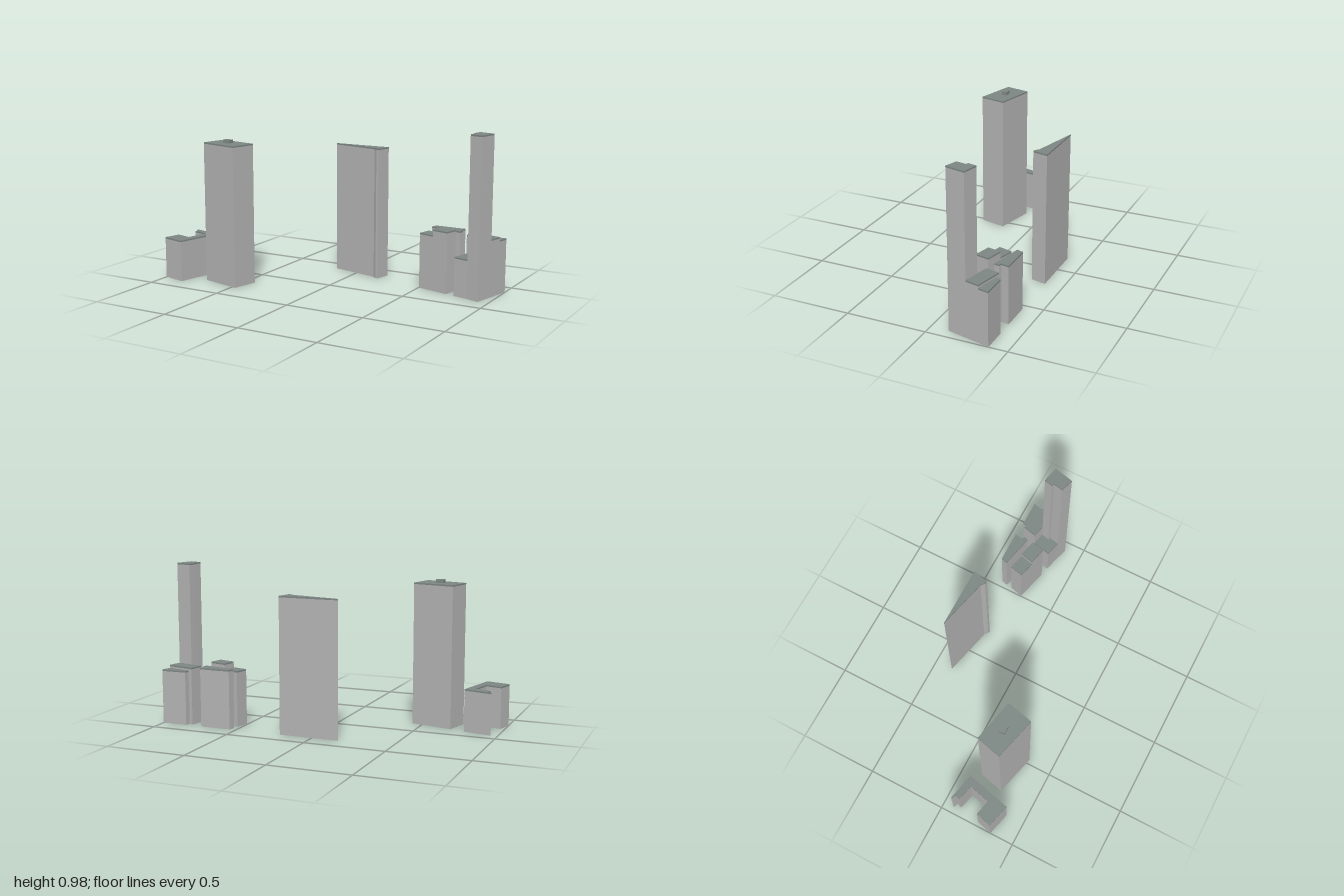
import * as THREE from 'three';

const SKIRT = 0.055; // open ground storey
const BAND = 0.009;  // roof edge

export function createModel() {
  const model = new THREE.Group();
  model.name = 'cityBlock';
  const wall = new THREE.MeshStandardMaterial({ color: 0xb2b2b2, side: THREE.DoubleSide });
  wall.name = 'wallGrey';
  const roof = new THREE.MeshStandardMaterial({ color: 0x7c8682 });
  roof.name = 'roofGrey';

  // upright prism over an [x, z] footprint
  function prism(points, bottom, top) {
    const shape = new THREE.Shape(points.map(([x, z]) => new THREE.Vector2(x, -z)));
    const geo = new THREE.ExtrudeGeometry(shape, { depth: top - bottom, bevelEnabled: false });
    return geo.rotateX(-Math.PI / 2).translate(0, bottom, 0);
  }

  // open ring of walls standing on the ground
  function skirt(points, height) {
    const pos = [];
    points.forEach(([ax, az], i) => {
      const [bx, bz] = points[(i + 1) % points.length];
      pos.push(ax, 0, az, ax, height, az, bx, height, bz);
      pos.push(ax, 0, az, bx, height, bz, bx, 0, bz);
    });
    const geo = new THREE.BufferGeometry();
    geo.setAttribute('position', new THREE.Float32BufferAttribute(pos, 3));
    geo.computeVertexNormals();
    return geo;
  }

  function building(name, height, points) {
    const group = new THREE.Group();
    group.name = name;
    const add = (part, geo, mat) => {
      const mesh = new THREE.Mesh(geo, mat);
      mesh.name = part;
      group.add(mesh);
    };
    add('groundWalls', skirt(points, SKIRT), wall);
    add('walls', prism(points, SKIRT, height - BAND), wall);
    add('roof', prism(points, height - BAND, height), roof);
    model.add(group);
    return group;
  }

  // broad tower with a small roof hut
  const broad = building('broadTower', 0.876,
    [[-0.695, 0.125], [-0.435, 0.183], [-0.473, 0.345], [-0.733, 0.28]]);
  const hut = new THREE.Mesh(new THREE.BoxGeometry(0.05, 0.024, 0.034), roof);
  hut.name = 'roofHut';
  hut.position.set(-0.586, 0.885, 0.232);
  broad.add(hut);

  // low courtyard building
  building('courtyardBuilding', 0.26, [
    [-0.96, 0.062], [-0.785, 0.102], [-0.853, 0.383], [-1, 0.347], [-0.973, 0.247],
    [-0.876, 0.27], [-0.842, 0.136], [-0.942, 0.11], [-0.932, 0.078], [-0.958, 0.068]]);

  // wedge tower
  building('wedgeTower', 0.83,
    [[-0.167, -0.385], [0.205, -0.385], [0.182, -0.29], [0.166, -0.293], [0.143, -0.312]]);

  // paired blocks
  building('notchedBlock', 0.365, [
    [0.54, -0.385], [0.735, -0.385], [0.723, -0.335], [0.743, -0.33],
    [0.737, -0.3], [0.695, -0.31], [0.53, -0.345]]);
  building('frontBlockLow', 0.346,
    [[0.525, -0.308], [0.622, -0.283], [0.602, -0.2], [0.504, -0.225]]);
  building('frontBlockHigh', 0.382,
    [[0.622, -0.283], [0.727, -0.257], [0.706, -0.174], [0.602, -0.2]]);

  // slender tower and its stepped base
  building('slenderTower', 0.982, [
    [0.935, -0.113], [0.964, -0.235], [0.866, -0.258],
    [0.853, -0.204], [0.869, -0.2], [0.856, -0.138]]);
  building('baseFront', 0.24, [
    [0.79, -0.276], [0.866, -0.258], [0.853, -0.204],
    [0.869, -0.2], [0.856, -0.138], [0.763, -0.16]]);
  building('baseMiddle', 0.355,
    [[0.81, -0.36], [0.984, -0.32], [0.964, -0.235], [0.79, -0.276]]);
  building('baseBack', 0.336,
    [[0.84, -0.385], [1, -0.385], [0.984, -0.32], [0.833, -0.355]]);

  return model;
}
